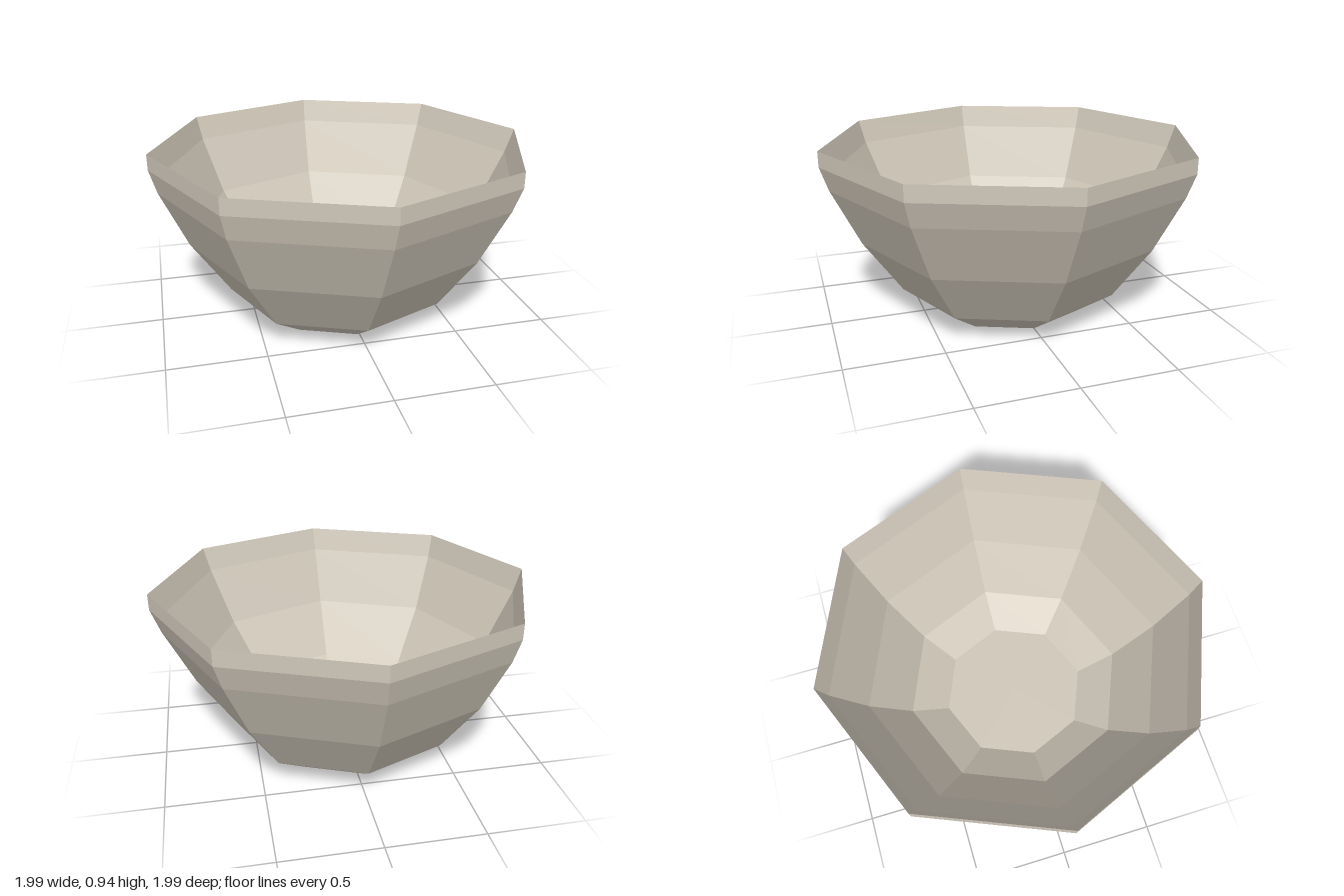
import * as THREE from 'three';

const SIDES = 8;
const THICKNESS = 0.082;

// Octagonal shell turned from [radius, height] points, with flat facets
function makeShell(name, points, material) {
  const turned = new THREE.LatheGeometry(points.map(([r, y]) => new THREE.Vector2(r, y)), SIDES);

  // The rings below the rim sit very slightly off centre
  const pos = turned.attributes.position;
  for (let i = 0; i < pos.count; i++) {
    const r = Math.hypot(pos.getX(i), pos.getZ(i));
    pos.setX(i, pos.getX(i) - 0.012 * THREE.MathUtils.clamp((0.997 - r) / 0.1, 0, 1));
  }

  const geometry = turned.toNonIndexed();
  geometry.computeVertexNormals();
  const mesh = new THREE.Mesh(geometry, material);
  mesh.name = name;
  return mesh;
}

export function createModel() {
  const bowl = new THREE.Group();
  bowl.name = 'bowl';
  const clay = new THREE.MeshStandardMaterial({ color: 0xcfc7b9, flatShading: true });
  clay.name = 'stone beige';

  // Curve shared by both sides, from the centre of the foot to the shoulder
  const curve = [[0, 0], [0.405, 0], [0.608, 0.138], [0.81, 0.427], [0.955, 0.728], [0.997, 0.855]];

  // Outside: foot and wall, ending in an upright rim
  const outside = [...curve, [0.997, 0.855 + THICKNESS]];

  // Inside: the same curve raised by the thickness, run downwards so it faces in
  const inside = curve.map(([r, y]) => [r, y + THICKNESS]).reverse();

  bowl.add(makeShell('outerWall', outside, clay), makeShell('innerWall', inside, clay));
  return bowl;
}
